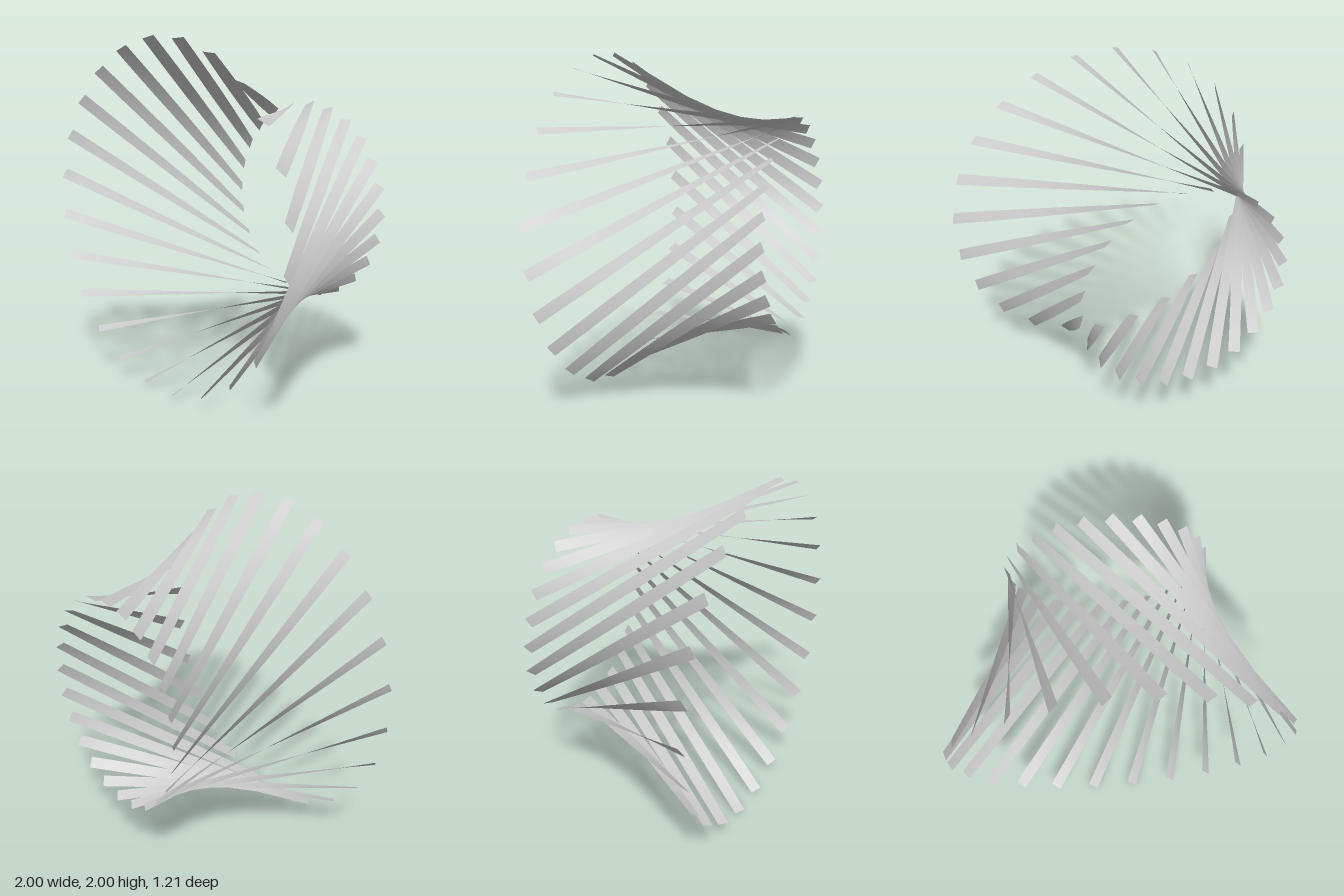
import * as THREE from 'three';

const COUNT = 24;       // slats around the axis
const WIDTH = 0.066;    // slat width
const FRONT_TWIST = THREE.MathUtils.degToRad(31);
const BACK_TWIST = THREE.MathUtils.degToRad(-42);
const TILT = 0.009;     // slight lean of the axis
const SEGMENTS = 16;

// One straight slat, twisted along its length, from the wide front ring to the narrow back ring
function slatGeometry() {
  const front = new THREE.Vector3(0.563, -0.819, 0.583);
  const back = new THREE.Vector3(0.59, 0.135, -0.583);
  const dir = back.clone().sub(front).normalize();
  const across = new THREE.Vector3(0, 0, 1).addScaledVector(dir, -dir.z).normalize();
  const normal = dir.clone().cross(across);

  const geometry = new THREE.PlaneGeometry(1, 1, 1, SEGMENTS);
  const pos = geometry.attributes.position;
  for (let i = 0; i < pos.count; i++) {
    const t = 0.5 - pos.getY(i);
    const side = pos.getX(i) * WIDTH;
    const angle = THREE.MathUtils.lerp(FRONT_TWIST, BACK_TWIST, t);
    const p = front.clone().lerp(back, t)
      .addScaledVector(across, side * Math.cos(angle))
      .addScaledVector(normal, side * Math.sin(angle));
    pos.setXYZ(i, p.x, p.y, p.z);
  }
  geometry.computeVertexNormals();
  return geometry;
}

export function createModel() {
  const model = new THREE.Group();
  model.name = 'twistedSlatFunnel';
  const material = new THREE.MeshStandardMaterial({ color: 0xcccccc, side: THREE.DoubleSide });
  const geometry = slatGeometry();

  // Ring of slats around the front-to-back axis
  const ring = new THREE.Group();
  ring.name = 'slatRing';
  ring.position.y = 1.003;
  ring.rotation.x = TILT;
  for (let i = 0; i < COUNT; i++) {
    const slat = new THREE.Mesh(geometry, material);
    slat.name = `slat${i + 1}`;
    slat.rotation.z = (i / COUNT) * Math.PI * 2;
    ring.add(slat);
  }
  model.add(ring);
  return model;
}
